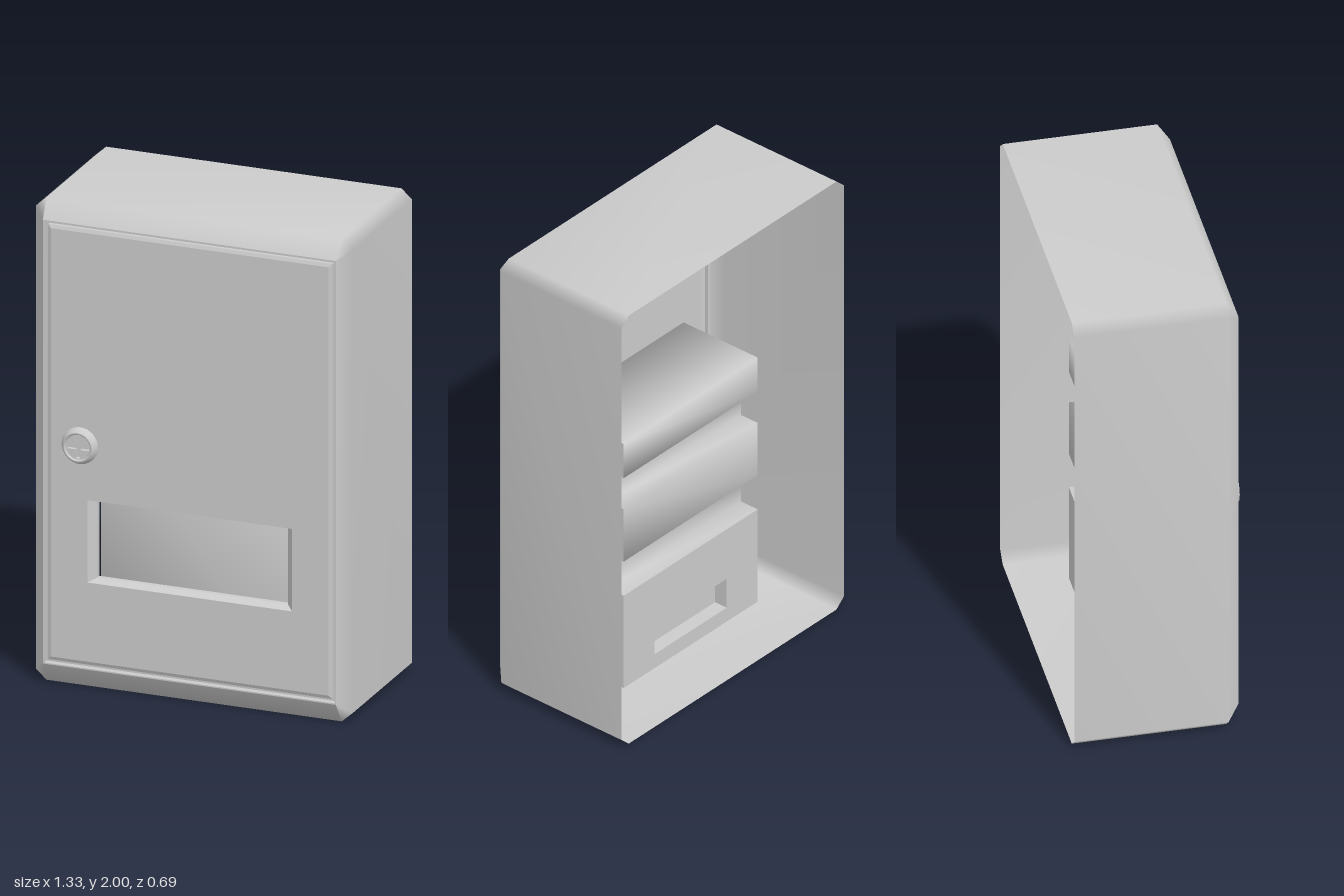
import * as THREE from 'three';

const mat = new THREE.MeshStandardMaterial({ color: 0xcccccc, side: THREE.DoubleSide });

// Skin between successive rings of [x, y, z] points
function loft(rings, { closed = true, flat = false } = {}) {
  const n = rings[0].length, index = [];
  for (let r = 0; r + 1 < rings.length; r++) {
    for (let k = 0; k < (closed ? n : n - 1); k++) {
      const a = r * n + k, b = r * n + (k + 1) % n;
      index.push(a, b, b + n, a, b + n, a + n);
    }
  }
  let geo = new THREE.BufferGeometry();
  geo.setAttribute('position', new THREE.Float32BufferAttribute(rings.flat(2), 3));
  geo.setIndex(index);
  if (flat) geo = geo.toNonIndexed();
  geo.computeVertexNormals();
  return geo;
}

// Counter-clockwise rectangle, and one with cut corners
const rect = (hx, y0, y1, z) => [[-hx, y0, z], [hx, y0, z], [hx, y1, z], [-hx, y1, z]];
const octagon = (hx, y0, y1, z, cx, cy) => [
  [-hx + cx, y0, z], [hx - cx, y0, z], [hx, y0 + cy, z], [hx, y1 - cy, z],
  [hx - cx, y1, z], [-hx + cx, y1, z], [-hx, y1 - cy, z], [-hx, y0 + cy, z],
];

function add(parent, name, geo) {
  const mesh = new THREE.Mesh(geo, mat);
  mesh.name = name;
  parent.add(mesh);
  return mesh;
}

function makeLock() {
  const lock = new THREE.Group();
  lock.name = 'lock';
  // Tapered collar with a shallow dish
  const profile = [[0.075, -0.01], [0.075, 0.008], [0.062, 0.03], [0.054, 0.03], [0.05, 0.02]]
    .map(([r, h]) => new THREE.Vector2(r, h));
  add(lock, 'lockCollar', new THREE.LatheGeometry(profile, 32).rotateX(Math.PI / 2));
  add(lock, 'lockFloor', new THREE.CircleGeometry(0.052, 32).translate(0, 0, 0.008));
  // Face with a cross-shaped slot
  const face = new THREE.Shape().absarc(0, 0, 0.051, 0, Math.PI * 2);
  const w = 0.01, l = 0.046;
  face.holes.push(new THREE.Path([
    [w, w], [w, l], [-w, l], [-w, w], [-l, w], [-l, -w],
    [-w, -w], [-w, -l], [w, -l], [w, -w], [l, -w], [l, w],
  ].map(([x, y]) => new THREE.Vector2(x, y))));
  add(lock, 'lockFace', new THREE.ExtrudeGeometry(face, { depth: 0.016, bevelEnabled: false, curveSegments: 16 })
    .translate(0, 0, 0.008));
  lock.position.set(-0.46, 1.01, 0.316);
  return lock;
}

function makeDispenser() {
  const dispenser = new THREE.Group();
  dispenser.name = 'dispenser';
  const hx = 0.4, back = -0.13, front = 0.25, bottom = 0.055, top = 1.195, sill = 0.486;
  // Side profile as [z, y], with two slots across the back
  const profile = [
    [back, sill], [-0.045, sill], [-0.045, 0.646], [back, 0.646],
    [back, 0.89], [-0.043, 0.89], [-0.043, 1.036], [back, 1.036],
    [back, top], [front, top], [front, bottom], [back, bottom],
  ];
  add(dispenser, 'dispenserBody',
    loft([-hx, hx].map(x => profile.map(([z, y]) => [x, y, z])), { closed: false }));
  // End plates
  const side = new THREE.Shape(profile.map(([z, y]) => new THREE.Vector2(z, y)));
  for (const s of [-1, 1]) {
    const end = new THREE.ShapeGeometry(side).rotateY(-Math.PI / 2).translate(s * hx, 0, 0);
    if (s > 0) end.scale(-1, 1, 1).rotateY(Math.PI).scale(1, 1, -1);
    add(dispenser, s > 0 ? 'leftEnd' : 'rightEnd', end);
  }
  // Lower back panel with a recessed pocket
  add(dispenser, 'pocketPanel', loft([
    rect(hx, bottom, sill, -back), rect(0.215, 0.12, 0.255, -back),
    rect(0.215, 0.12, 0.255, -back - 0.06), rect(0, 0.1875, 0.1875, -back - 0.06),
  ], { flat: true }).rotateY(Math.PI));
  return dispenser;
}

export function createModel() {
  const model = new THREE.Group();
  model.name = 'wallCabinet';

  // Open-backed housing with chamfered front
  add(model, 'housing', loft([
    octagon(0.665, 0, 2, -0.345, 0.045, 0.04),
    octagon(0.665, 0, 2, 0.27, 0.045, 0.04),
    octagon(0.615, 0.085, 1.925, 0.32, 0, 0),
  ]));

  // Groove round the door
  add(model, 'doorGroove', loft([
    rect(0.615, 0.085, 1.925, 0.32), rect(0.61, 0.09, 1.92, 0.32),
    rect(0.61, 0.09, 1.92, 0.295), rect(0.597, 0.103, 1.907, 0.295),
  ], { flat: true }));

  // Door with bevelled edge and framed window opening
  add(model, 'door', loft([
    rect(0.597, 0.103, 1.907, 0.295), rect(0.597, 0.103, 1.907, 0.31),
    rect(0.583, 0.117, 1.893, 0.316), rect(0.43, 0.445, 0.787, 0.316),
    rect(0.4, 0.46, 0.775, 0.285), rect(0.4, 0.46, 0.775, 0.265),
  ], { flat: true }));

  model.add(makeLock(), makeDispenser());
  return model;
}
